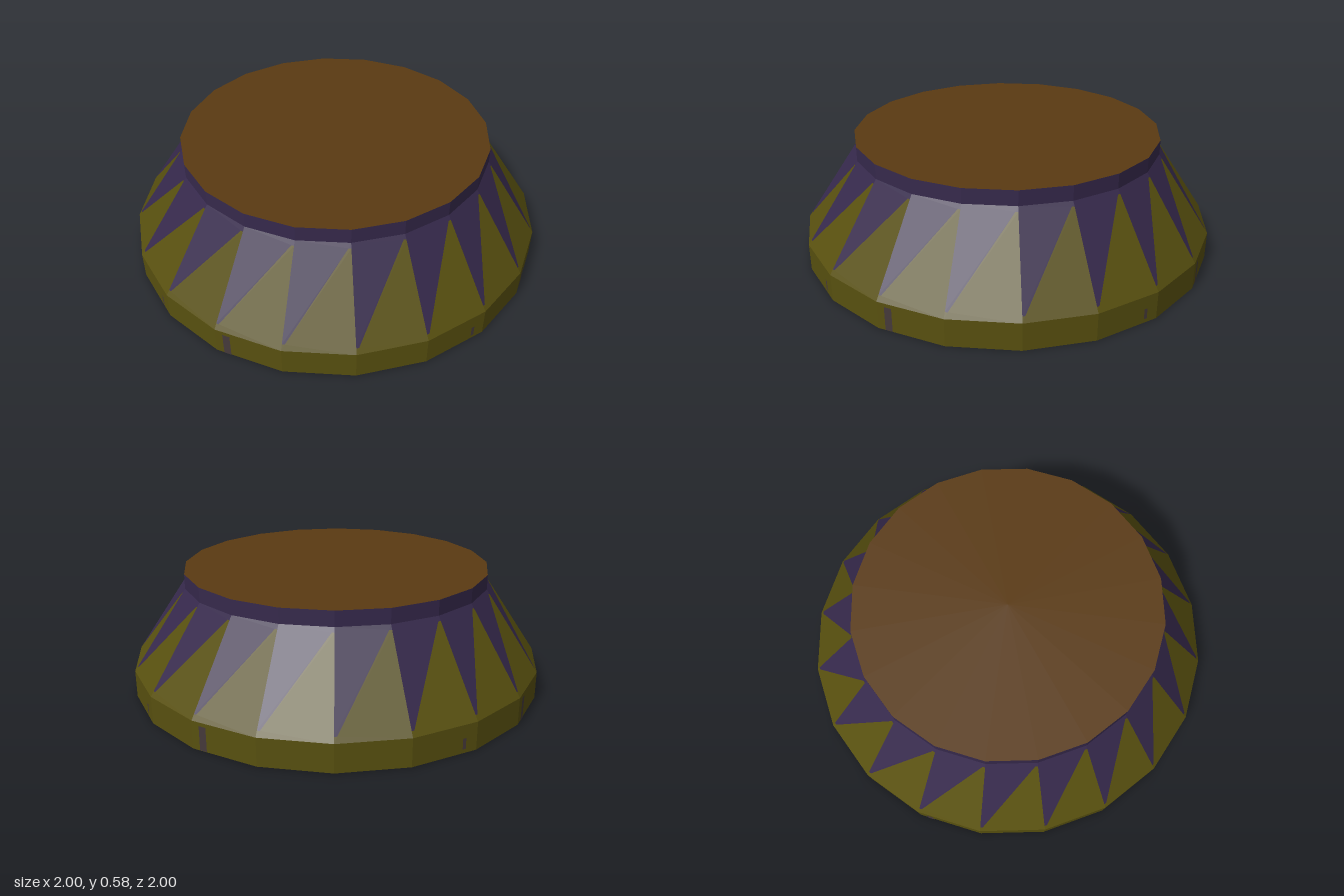
import * as THREE from 'three';

const SIDES = 20;
const RIM_R = 1, TOP_R = 0.74;
const RIM_Y = 0.13, COLLAR_Y = 0.515, TOP_Y = 0.585;

const mat = (name, color) => {
  const m = new THREE.MeshStandardMaterial({ color, flatShading: true });
  m.name = name;
  return m;
};

// Corner i of the twenty-sided ring, counted from the front towards +x
const corner = (i, r, y) => {
  const t = (i / SIDES) * Math.PI * 2;
  return new THREE.Vector3(Math.sin(t) * r, y, Math.cos(t) * r);
};

// Point on sloped facet i: u runs across it, s runs up it
const onSlope = (i, u, s) => {
  const r = THREE.MathUtils.lerp(RIM_R, TOP_R, s);
  const y = THREE.MathUtils.lerp(RIM_Y, COLLAR_Y, s);
  return corner(i, r, y).lerp(corner(i + 1, r, y), u);
};

// Mesh of flat polygons, each triangulated as a fan from its first point
function polygonMesh(name, material, polygons) {
  const points = [];
  for (const p of polygons) {
    for (let k = 1; k < p.length - 1; k++) points.push(p[0], p[k], p[k + 1]);
  }
  const geometry = new THREE.BufferGeometry().setFromPoints(points);
  geometry.computeVertexNormals();
  const mesh = new THREE.Mesh(geometry, material);
  mesh.name = name;
  return mesh;
}

export function createModel() {
  const group = new THREE.Group();
  group.name = 'toothedPedestal';
  const olive = mat('olive', 0x58500f);
  const purple = mat('purple', 0x36294c);
  const brown = mat('brown', 0x5a3a12);
  const grey = mat('dull grey', 0x45393a);

  // Upright rim and collar bands
  const band = (name, material, r, y0, y1) => {
    const g = new THREE.CylinderGeometry(r, r, y1 - y0, SIDES, 1, true);
    const mesh = new THREE.Mesh(g, material);
    mesh.name = name;
    mesh.position.y = (y0 + y1) / 2;
    group.add(mesh);
  };
  band('rim', olive, RIM_R, 0, RIM_Y);
  band('collar', purple, TOP_R, COLLAR_Y, TOP_Y);

  // Flat top and underside; the circle starts on +x, which is also a corner
  const cap = (name, r, y, tilt) => {
    const mesh = new THREE.Mesh(new THREE.CircleGeometry(r, SIDES), brown);
    mesh.name = name;
    mesh.rotation.x = tilt;
    mesh.position.y = y;
    group.add(mesh);
  };
  cap('top', TOP_R, TOP_Y, -Math.PI / 2);
  cap('underside', RIM_R, 0, Math.PI / 2);

  // Sloped skirt: each facet is split by a diagonal into olive and a purple tooth
  const skirt = [], teeth = [];
  for (let i = 0; i < SIDES; i++) {
    const at = (u, s) => onSlope(i, u, s);
    const tip = [at(0, 0.06), at(0.04, 0.06)];
    const peak = [at(0.95, 0.95), at(1, 0.95)];
    skirt.push([tip[1], tip[0], at(0, 0), at(1, 0), peak[1], peak[0]]);
    teeth.push([tip[0], tip[1], peak[0], at(0, 1)]);
    teeth.push([peak[0], peak[1], at(1, 1), at(0, 1)]);
  }
  group.add(polygonMesh('skirt', olive, skirt));
  group.add(polygonMesh('teeth', purple, teeth));

  // Small marks on the rim, repeated every quarter turn
  const marks = [];
  const addMark = (i, u0, u1, y0, y1) => {
    const at = (u, y) => corner(i, 1.003, y).lerp(corner(i + 1, 1.003, y), u);
    marks.push([at(u0, y0), at(u1, y0), at(u1, y1), at(u0, y1)]);
  };
  for (let q = 0; q < 4; q++) {
    addMark(q * 5 + 3, 0.12, 0.23, 0.003, 0.115);
    addMark(q * 5 + 1, 0.77, 0.82, 0.02, 0.07);
  }
  group.add(polygonMesh('rimMarks', grey, marks));

  return group;
}
